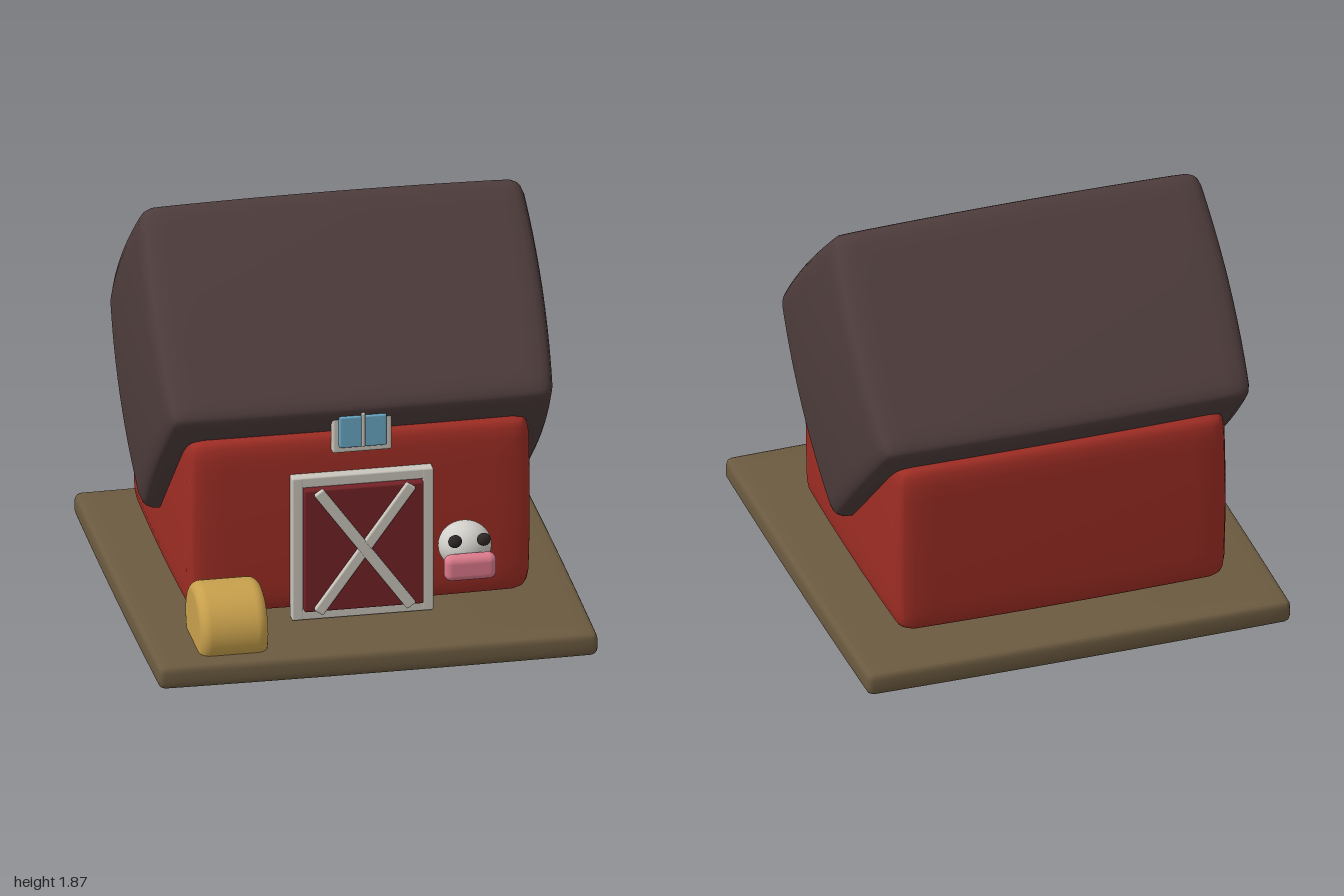
import * as THREE from 'three';
import { mergeVertices } from 'three/addons/utils/BufferGeometryUtils.js';
import { RoundedBoxGeometry } from 'three/addons/geometries/RoundedBoxGeometry.js';

const material = (name, color) => {
  const m = new THREE.MeshStandardMaterial({ color });
  m.name = name;
  return m;
};

// Rounded box with softly bulging faces; size is measured at the face centres.
function softBox(size, r, bulge, n = 14) {
  const g = new THREE.BoxGeometry(2, 2, 2, n, n, n);
  g.deleteAttribute('normal');
  g.deleteAttribute('uv');
  const geo = mergeVertices(g, 1e-4);
  const pos = geo.attributes.position;
  const h = size.map((s) => s / 2);
  for (let i = 0; i < pos.count; i++) {
    const raw = [pos.getX(i), pos.getY(i), pos.getZ(i)];
    const p = raw.map((u, k) => Math.sin((u * Math.PI) / 2) * h[k]);
    const inner = p.map((v, k) => Math.max(r - h[k], Math.min(h[k] - r, v)));
    const d = new THREE.Vector3(...p.map((v, k) => v - inner[k])).normalize().multiplyScalar(r).toArray();
    const q = inner.map((v, k) => v + d[k]);
    const u2 = q.map((v, k) => (v / h[k]) ** 2);
    const out = q.map((v, k) => v * (1 - (bulge[k] / h[k]) * (u2[(k + 1) % 3] + u2[(k + 2) % 3]) / 2));
    pos.setXYZ(i, ...out);
  }
  geo.computeVertexNormals();
  return geo;
}

export function createModel() {
  const model = new THREE.Group();
  model.name = 'barn';
  const earth = material('earth', 0x6b5a40);
  const red = material('barn red', 0x9e2d24);
  const darkRed = material('door red', 0x732226);
  const slate = material('roof brown', 0x4e3c3c);
  const trim = material('trim white', 0xc9c5bc);
  const straw = material('straw', 0xc8a04c);
  const hide = material('cow white', 0xd2d0ca);
  const pink = material('snout pink', 0xdb7a8b);
  const dark = material('eye black', 0x302828);
  const glass = material('window blue', 0x6aa8c6);

  const add = (name, geo, mat, x, y, z, parent = model) => {
    const mesh = new THREE.Mesh(geo, mat);
    mesh.name = name;
    mesh.position.set(x, y, z);
    parent.add(mesh);
    return mesh;
  };
  const group = (name) => {
    const g = new THREE.Group();
    g.name = name;
    model.add(g);
    return g;
  };
  const block = (w, h, d, r) => new RoundedBoxGeometry(w, h, d, 3, r);

  // Ground slab, walls and the roof block turned on its edge
  add('ground', softBox([2, 0.122, 2], 0.03, [0.012, 0.004, 0.012]), earth, 0, 0.063, 0);
  add('walls', softBox([1.57, 0.87, 1.36], 0.08, [0.015, 0.01, 0.012]), red, 0, 0.575, -0.105);
  const roof = add('roof', softBox([1.82, 1.095, 1.095], 0.07, [0.05, 0.018, 0.018], 18), slate, 0, 1.135, -0.105);
  roof.rotation.x = Math.PI / 4;

  // Barn door: frame, panel and crossed braces
  const door = group('door');
  for (const s of [-1, 1]) {
    add('doorPost', block(0.05, 0.69, 0.06, 0.008), trim, s * 0.295, 0.475, 0.593, door);
    add('doorRail', block(0.6, 0.05, 0.058, 0.008), trim, 0, 0.475 + s * 0.32, 0.593, door);
  }
  add('doorPanel', block(0.54, 0.59, 0.09, 0.008), darkRed, 0, 0.475, 0.61, door);
  for (const s of [-1, 1]) {
    const brace = add('doorBrace', block(0.05, 0.72, 0.026, 0.008), trim, 0, 0.475, 0.666 + s * 0.001, door);
    brace.rotation.z = s * 0.625;
  }

  // Loft window
  const loft = group('loftWindow');
  add('windowFrame', block(0.27, 0.19, 0.05, 0.012), trim, 0, 1.015, 0.583, loft);
  for (const s of [-1, 1]) {
    add('windowPane', block(0.102, 0.15, 0.045, 0.008), glass, s * 0.056, 1.028, 0.608, loft);
  }
  add('windowBar', block(0.018, 0.165, 0.05, 0.006), trim, 0, 1.035, 0.61, loft);

  // Round hay bale lying on its side
  const R = 0.21, half = 0.155, r = 0.05;
  const profile = [new THREE.Vector2(0, -half)];
  for (const s of [-1, 1]) {
    for (let i = 0; i <= 6; i++) {
      const a = ((s < 0 ? i - 6 : i) / 6) * (Math.PI / 2);
      profile.push(new THREE.Vector2(R - r + r * Math.cos(a), s * (half - r) + r * Math.sin(a)));
    }
  }
  profile.push(new THREE.Vector2(0, half));
  const baleGeo = new THREE.LatheGeometry(profile, 40).rotateZ(Math.PI / 2).scale(1, 0.9, 1);
  add('hayBale', baleGeo, straw, -0.635, 0.2, 0.72);

  // Cow peeking out beside the door
  const cow = group('cow');
  const ball = new THREE.SphereGeometry(1, 32, 24);
  add('cowHead', ball, hide, 0.442, 0.48, 0.718, cow).scale.set(0.12, 0.11, 0.11);
  add('cowSnout', block(0.235, 0.12, 0.075, 0.034), pink, 0.44, 0.43, 0.847, cow);
  for (const s of [-1, 1]) {
    add('cowEye', ball, dark, 0.44 + s * 0.065, 0.55, 0.835, cow).scale.set(0.031, 0.03, 0.021);
  }
  return model;
}
